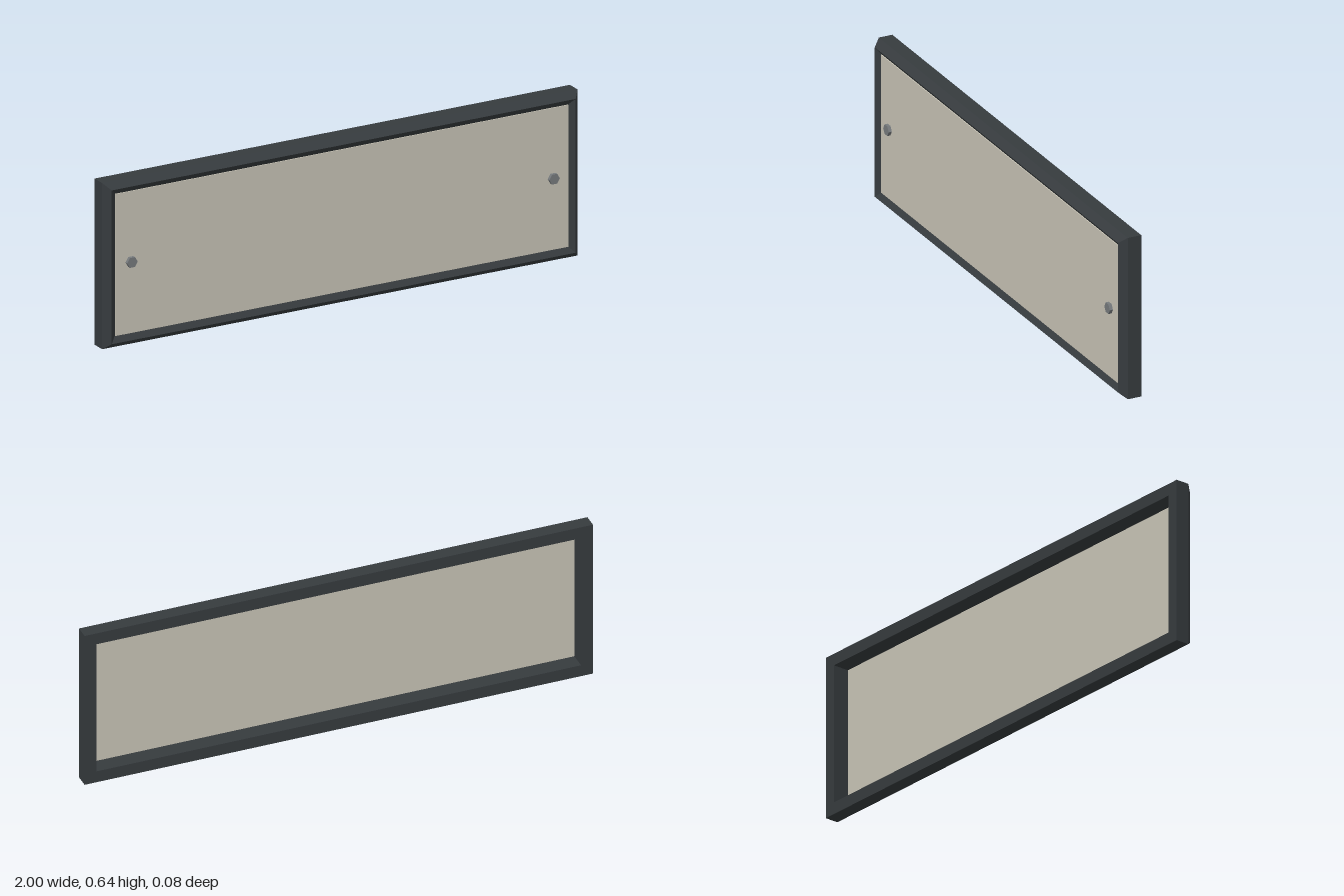
import * as THREE from 'three';

const W = 2, H = 0.645, BORDER = 0.047;

// Sweeps a closed [inset, z] profile round a rectangle with mitred corners.
function mitredFrame(profile) {
  const corners = [[-1, 0], [1, 0], [1, 1], [-1, 1]];
  const point = (i, j) => {
    const [sx, top] = corners[i % 4];
    const [inset, z] = profile[j % profile.length];
    return [sx * (W / 2 - inset), top ? H - inset : inset, z];
  };
  const pos = [];
  for (let i = 0; i < 4; i++) {
    for (let j = 0; j < profile.length; j++) {
      const a = point(i, j), b = point(i + 1, j);
      const c = point(i + 1, j + 1), d = point(i, j + 1);
      pos.push(...a, ...b, ...c, ...a, ...c, ...d);
    }
  }
  const geo = new THREE.BufferGeometry();
  geo.setAttribute('position', new THREE.Float32BufferAttribute(pos, 3));
  geo.computeVertexNormals();
  return geo;
}

export function createModel() {
  const group = new THREE.Group();
  const add = (name, geo, color, x, y, z) => {
    const mesh = new THREE.Mesh(geo, new THREE.MeshStandardMaterial({ color, flatShading: true }));
    mesh.name = name;
    mesh.position.set(x, y, z);
    group.add(mesh);
  };

  // Frame: square back, ridged front
  add('frame', mitredFrame([
    [0, -0.042], [0, 0.013], [0.024, 0.042], [BORDER, 0.024], [BORDER, -0.042],
  ]), 0x363b3e, 0, 0, 0);

  // Thin panel set near the front of the frame
  add('panel', new THREE.BoxGeometry(W - 2 * BORDER, H - 2 * BORDER, 0.004),
    0xc8c4b6, 0, H / 2, 0.026);

  // Hexagonal bolts at both ends
  const bolt = new THREE.CylinderGeometry(0.022, 0.022, 0.014, 6);
  bolt.rotateY(Math.PI / 6).rotateX(Math.PI / 2);
  for (const side of [-1, 1]) {
    add(side > 0 ? 'leftBolt' : 'rightBolt', bolt, 0x767a7d, side * 0.888, 0.325, 0.034);
  }
  return group;
}
